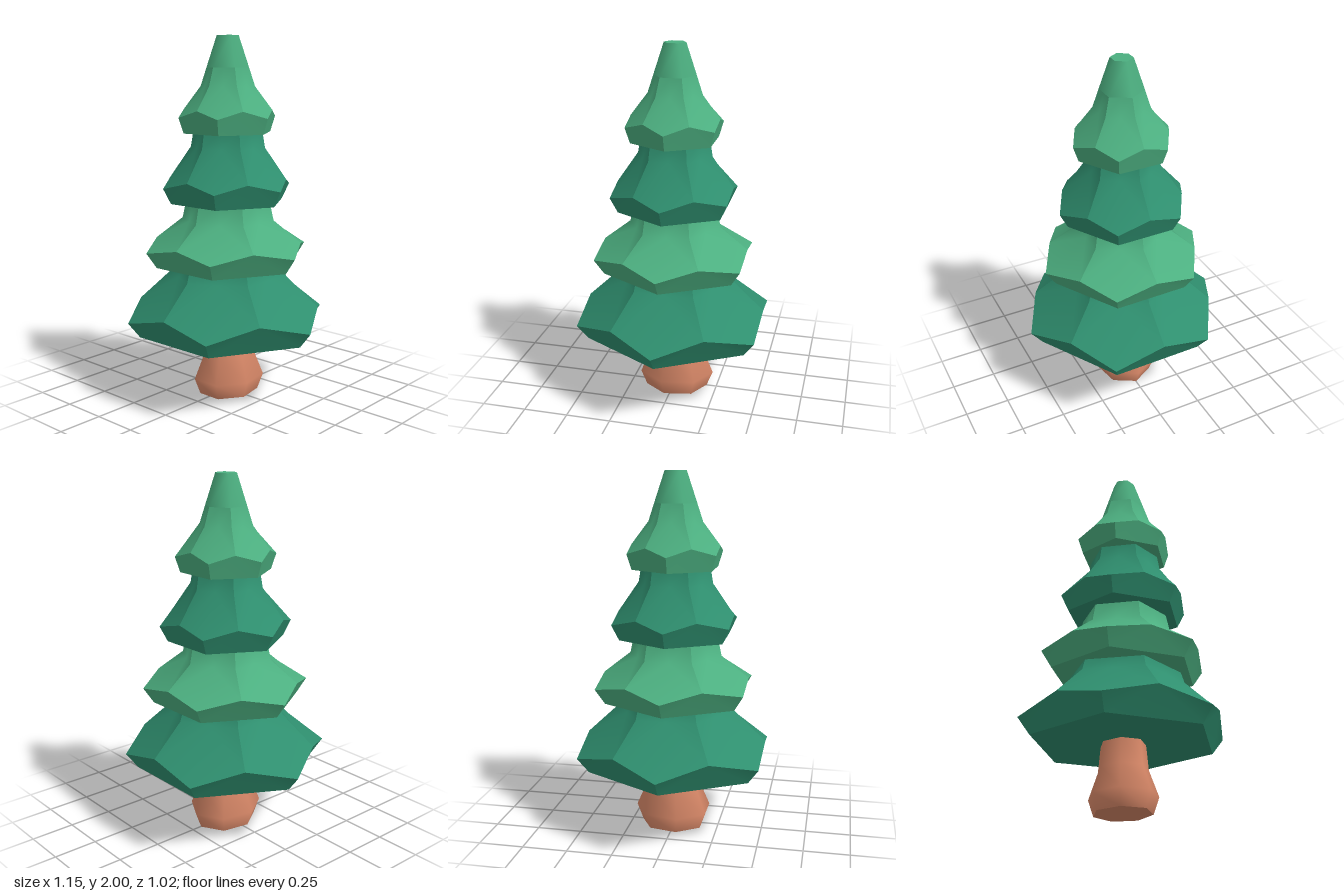
import * as THREE from 'three';

const mat = (name, color) => Object.assign(new THREE.MeshStandardMaterial({ color }), { name });

// point on a circle round the y axis, angle in degrees
const polar = (deg, r, y) => {
  const a = THREE.MathUtils.degToRad(deg);
  return [Math.cos(a) * r, y, -Math.sin(a) * r];
};

// small patch with its own smooth normals, so that its borders stay sharp
function patch(points, faces, material, name) {
  const g = new THREE.BufferGeometry();
  g.setAttribute('position', new THREE.Float32BufferAttribute(points.flat(), 3));
  g.setIndex(faces);
  g.computeVertexNormals();
  const m = new THREE.Mesh(g, material);
  m.name = name;
  return m;
}

// flat polygon facing down or up
function disc(name, r, sides, start, y, up, material) {
  const g = new THREE.CircleGeometry(r, sides, start);
  g.rotateX(up ? -Math.PI / 2 : Math.PI / 2);
  const m = new THREE.Mesh(g, material);
  m.name = name;
  m.position.y = y;
  return m;
}

// hexagonal tier of branches: bottom, hanging corner, ridge, shoulder and neck as [radius, height]
function makeTier({ bottom, corner, ridge, shoulder, neck }, material) {
  const tier = new THREE.Group();
  const c30 = Math.cos(Math.PI / 6);
  for (let i = 0; i < 6; i++) {
    const a = i * 60;
    // sloping bough, centred on a corner
    tier.add(patch([
      polar(a - 30, ...ridge), polar(a, ...corner), polar(a + 30, ...ridge),
      polar(a - 30, ...shoulder), polar(a, shoulder[0] * c30, shoulder[1]), polar(a + 30, ...shoulder),
      polar(a - 30, ...neck), polar(a, neck[0] * c30, neck[1]), polar(a + 30, ...neck),
    ], [0, 1, 4, 0, 4, 3, 1, 2, 4, 2, 5, 4, 3, 4, 7, 3, 7, 6, 4, 5, 8, 4, 8, 7], material, 'bough'));
    // undercut rim between two corners
    tier.add(patch([
      polar(a, ...bottom), polar(a + 60, ...bottom),
      polar(a, ...corner), polar(a + 30, ...ridge), polar(a + 60, ...corner),
    ], [0, 1, 3, 0, 3, 2, 1, 4, 3], material, 'rim'));
  }
  tier.add(disc('underside', bottom[0], 6, 0, bottom[1], false, material));
  return tier;
}

export function createModel() {
  const tree = new THREE.Group();
  tree.name = 'pineTree';
  const dark = mat('darkGreen', 0x2f8f6f);
  const light = mat('lightGreen', 0x4caf80);
  const bark = mat('bark', 0xd88868);

  const foliage = new THREE.Group();
  foliage.name = 'foliage';
  foliage.rotation.y = 0.012;
  tree.add(foliage);

  const tiers = [
    { bottom: [0.51, 0.365], corner: [0.576, 0.45], ridge: [0.51, 0.52], shoulder: [0.33, 0.69], neck: [0.305, 0.77] },
    { bottom: [0.41, 0.75], corner: [0.467, 0.835], ridge: [0.41, 0.88], shoulder: [0.258, 1.0], neck: [0.232, 1.12] },
    { bottom: [0.325, 1.1], corner: [0.368, 1.185], ridge: [0.325, 1.23], shoulder: [0.207, 1.4], neck: [0.19, 1.5] },
    { bottom: [0.25, 1.48], corner: [0.278, 1.565], ridge: [0.245, 1.605], shoulder: [0.15, 1.73], neck: [0.117, 1.83] },
  ];
  tiers.forEach((t, i) => {
    const tier = makeTier(t, i % 2 ? light : dark);
    tier.name = `tier${i + 1}`;
    foliage.add(tier);
  });

  // smooth blunt tip
  const tip = new THREE.Mesh(new THREE.CylinderGeometry(0.06, 0.117, 0.17, 6, 1, true), light);
  tip.name = 'tip';
  tip.position.y = 1.915;
  foliage.add(tip, disc('tipCap', 0.06, 6, Math.PI / 6, 2, true, light));

  // seven-sided trunk with a flared foot
  const trunk = new THREE.Group();
  trunk.name = 'trunk';
  trunk.scale.x = 0.86;
  trunk.position.set(-0.003, 0, -0.01);
  const profile = [[0.182, 0], [0.217, 0.09], [0.157, 0.23], [0.14, 0.38]].map(p => new THREE.Vector2(...p));
  const stem = new THREE.Mesh(new THREE.LatheGeometry(profile, 7, Math.PI), bark);
  stem.name = 'stem';
  trunk.add(stem, disc('foot', 0.182, 7, -Math.PI / 2, 0, false, bark));
  tree.add(trunk);
  return tree;
}
